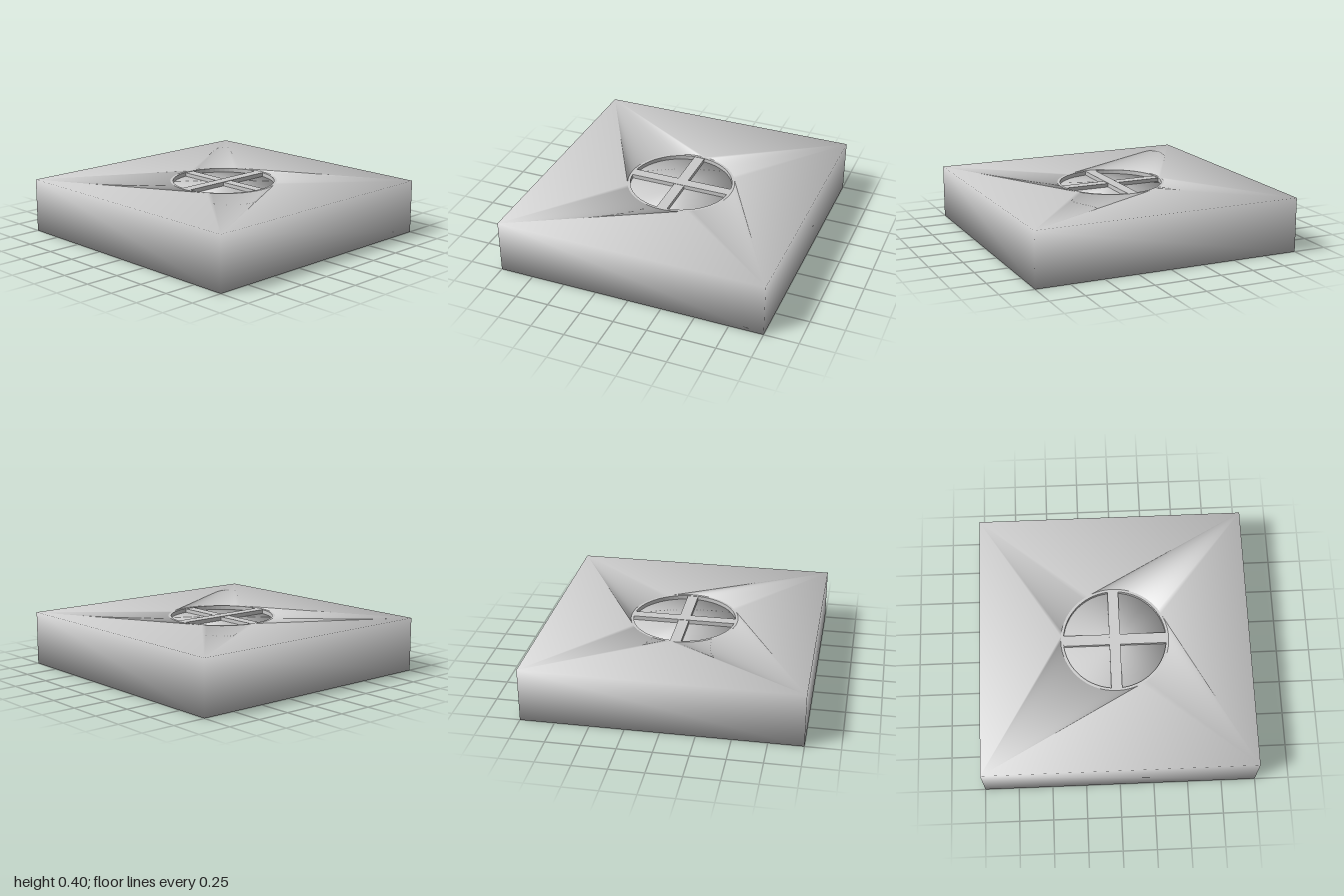
import * as THREE from 'three';
import { mergeVertices } from 'three/addons/utils/BufferGeometryUtils.js';

const HEIGHT = 0.4;   // slab thickness
const HOLE = 0.4;     // radius of the round opening
const INNER = 0.38;   // inner radius of the rim
const RECESS = 0.03;  // depth of the pockets between the bars

// Weld all corners so normals blend softly across edges
function smooth(geometry) {
  geometry.deleteAttribute('normal');
  geometry.deleteAttribute('uv');
  const welded = mergeVertices(geometry, 1e-4);
  welded.computeVertexNormals();
  return welded;
}

// Extrude a plan outline upwards from y = 0
function extrudeUp(shape) {
  const geometry = new THREE.ExtrudeGeometry(shape, {
    depth: HEIGHT, bevelEnabled: false, curveSegments: 32,
  });
  return geometry.rotateX(-Math.PI / 2);
}

export function createModel() {
  const group = new THREE.Group();
  const material = new THREE.MeshStandardMaterial({ color: 0xcccccc });
  const add = (name, geometry, y = 0) => {
    const mesh = new THREE.Mesh(geometry, material);
    mesh.name = name;
    mesh.position.y = y;
    group.add(mesh);
  };

  // Square slab with a round opening, softly shaded
  const square = new THREE.Shape([[-1, -1], [1, -1], [1, 1], [-1, 1]]
    .map(([x, y]) => new THREE.Vector2(x, y)));
  square.holes.push(new THREE.Path().absarc(0, 0, HOLE, 0, Math.PI * 2, true));
  add('slab', smooth(extrudeUp(square)));

  // Thin rim lining the opening
  const ring = new THREE.Shape().absarc(0, 0, HOLE, 0, Math.PI * 2, false);
  ring.holes.push(new THREE.Path().absarc(0, 0, INNER, 0, Math.PI * 2, true));
  add('rim', extrudeUp(ring));

  // Plate closing the opening, sunk on both faces
  add('plate', smooth(new THREE.CylinderGeometry(INNER, INNER, HEIGHT - 2 * RECESS, 64)), HEIGHT / 2);

  // Crossed bars showing on the top and the underside
  add('longBar', new THREE.BoxGeometry(0.08, HEIGHT, INNER * 2), HEIGHT / 2);
  add('crossBar', new THREE.BoxGeometry(INNER * 2, HEIGHT - 0.006, 0.08), HEIGHT / 2);

  return group;
}
